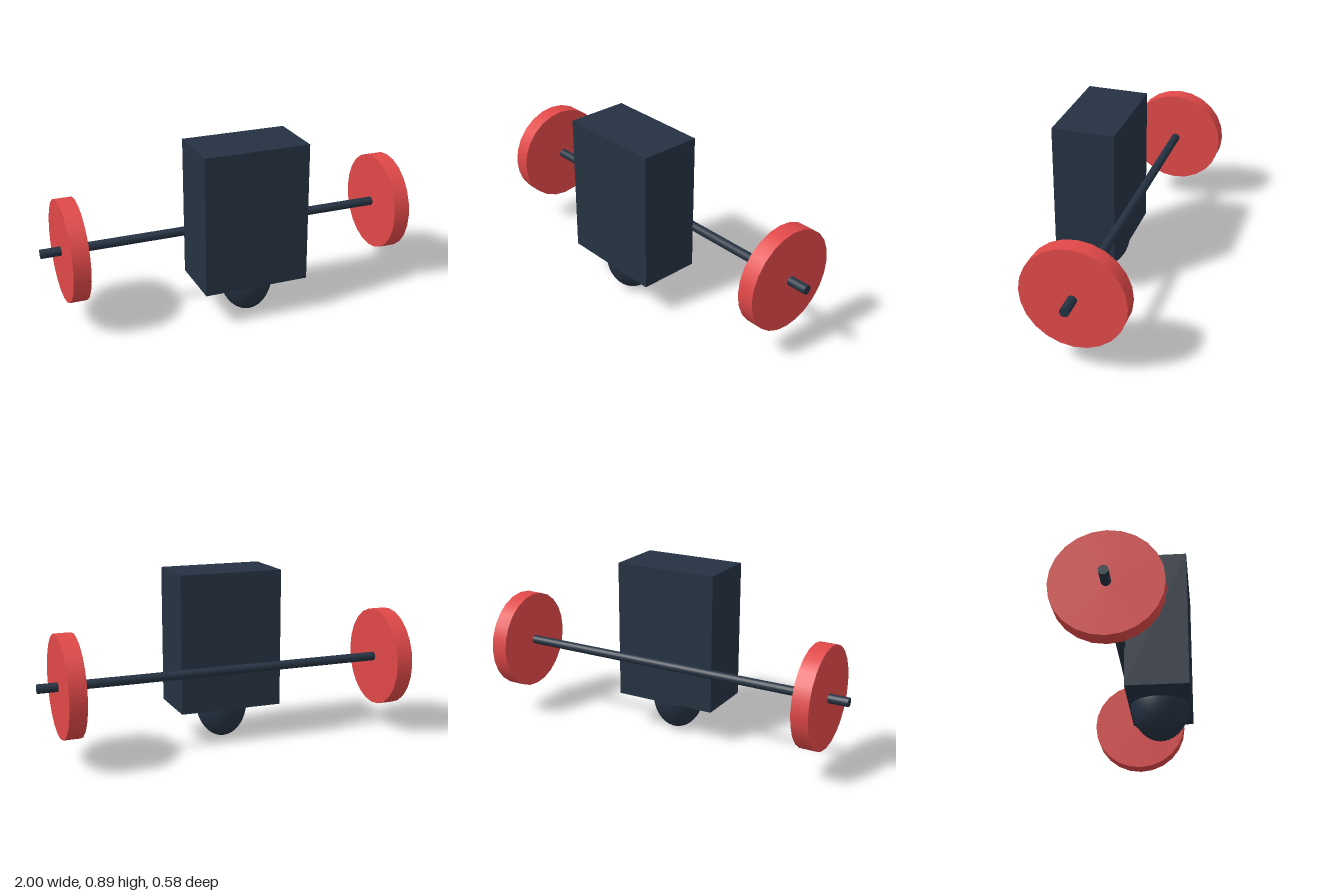
import * as THREE from 'three';

const red = new THREE.MeshStandardMaterial({ color: 0xe04848 });
red.name = 'wheelRed';
const slate = new THREE.MeshStandardMaterial({ color: 0x253242 });
slate.name = 'darkSlate';

const AXLE_Y = 0.397;
const AXLE_Z = -0.035;

export function createModel() {
  const model = new THREE.Group();
  model.name = 'wheeledRobot';

  function add(name, geometry, material, x, y, z) {
    const mesh = new THREE.Mesh(geometry, material);
    mesh.name = name;
    mesh.position.set(x, y, z);
    model.add(mesh);
    return mesh;
  }

  // Cylinder lying along x
  const rod = (radius, length, sides) =>
    new THREE.CylinderGeometry(radius, radius, length, sides).rotateZ(Math.PI / 2);

  // Upright box body
  add('body', new THREE.BoxGeometry(0.54, 0.712, 0.313), slate, 0, 0.539, 0.1365);

  // Oval caster ball, half sunk into the underside
  const ball = add('casterBall', new THREE.SphereGeometry(1, 32, 24), slate, 0, 0.193, 0.137);
  ball.scale.set(0.134, 0.193, 0.148);

  // Axle along the back of the body
  add('axle', rod(0.023, 2, 24), slate, 0, AXLE_Y, AXLE_Z);

  // Mirrored pair of wheels
  for (const [name, side] of [['leftWheel', 1], ['rightWheel', -1]]) {
    add(name, rod(0.257, 0.086, 24), red, side * 0.857, AXLE_Y, AXLE_Z);
  }

  return model;
}
